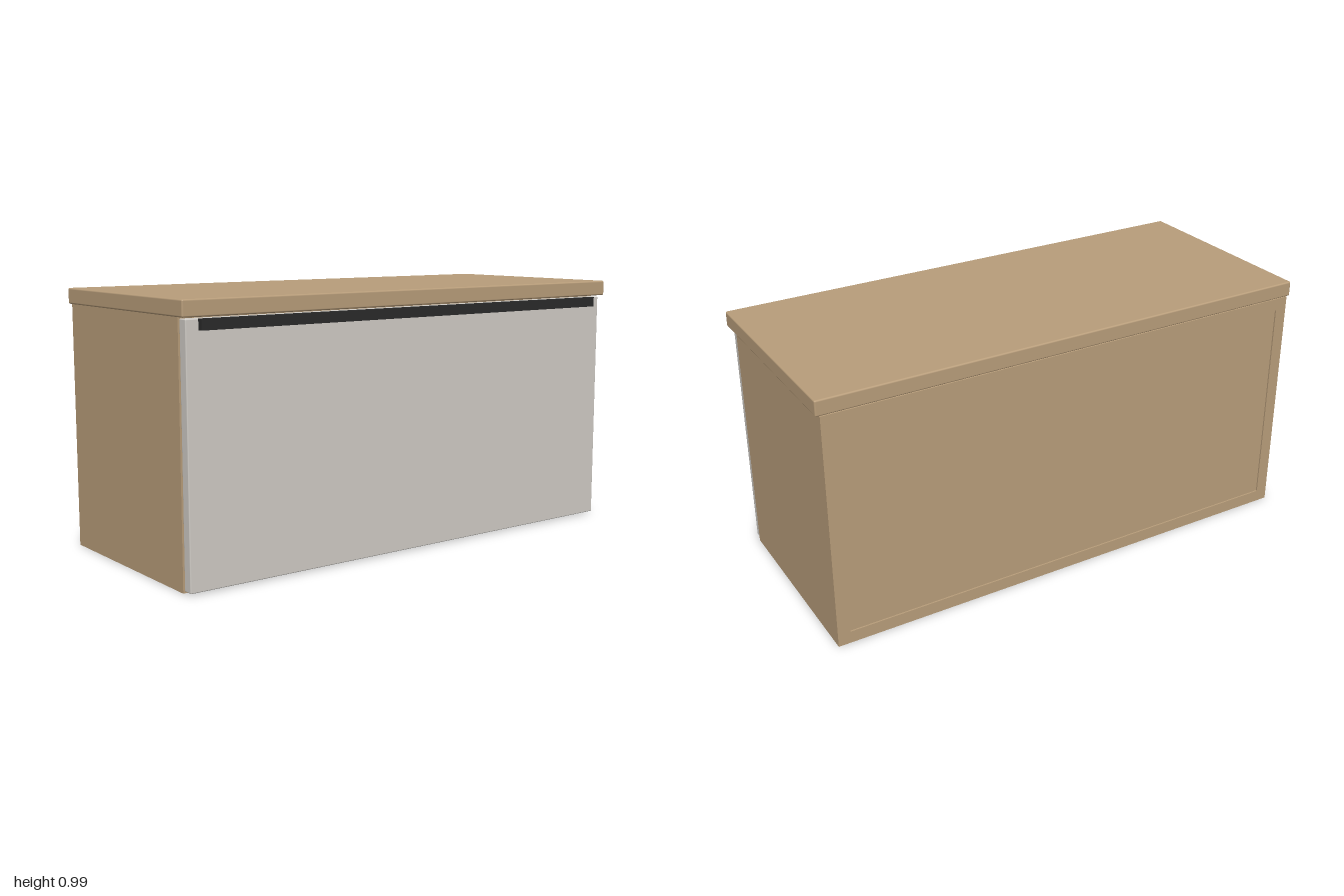
import * as THREE from 'three';
import { RoundedBoxGeometry } from 'three/addons/geometries/RoundedBoxGeometry.js';

const wood = new THREE.MeshStandardMaterial({ color: 0xb89d7a });
const paint = new THREE.MeshStandardMaterial({ color: 0xd0ccc6 });
const dark = new THREE.MeshStandardMaterial({ color: 0x2a2a2a });

// Box given by its [min, max] range on each axis; a radius rounds its edges
function panel(name, [x0, x1], [y0, y1], [z0, z1], material, radius = 0) {
  const size = [x1 - x0, y1 - y0, z1 - z0];
  const geometry = radius
    ? new RoundedBoxGeometry(...size, 3, radius)
    : new THREE.BoxGeometry(...size);
  const mesh = new THREE.Mesh(geometry, material);
  mesh.name = name;
  mesh.position.set((x0 + x1) / 2, (y0 + y1) / 2, (z0 + z1) / 2);
  return mesh;
}

export function createModel() {
  const model = new THREE.Group();
  model.name = 'drawerCabinet';

  const halfWidth = 0.985, height = 0.925, wall = 0.048;
  const back = -0.427, front = 0.365;
  const inner = halfWidth - wall;
  const depth = [back, front];

  // Carcass: two sides, floor and upper rail around a slightly recessed back
  const carcass = new THREE.Group();
  carcass.name = 'carcass';
  carcass.add(
    panel('leftSide', [inner, halfWidth], [0, height], depth, wood),
    panel('rightSide', [-halfWidth, -inner], [0, height], depth, wood),
    panel('floor', [-inner, inner], [0, wall], depth, wood),
    panel('upperRail', [-inner, inner], [height - wall, height], depth, wood),
    panel('backPanel', [-inner, inner], [wall, height - wall], [back + 0.006, back + 0.026], wood)
  );
  model.add(carcass);

  // Overhanging worktop with softened edges
  model.add(panel('worktop', [-1, 1], [0.926, 0.985], [-0.427, 0.421], wood, 0.006));

  // Full-width drawer front and its bar handle
  const drawer = new THREE.Group();
  drawer.name = 'drawer';
  drawer.add(
    panel('drawerFront', [-0.98, 0.98], [0.006, 0.92], [front + 0.001, 0.406], paint, 0.004),
    panel('handle', [-0.932, 0.932], [0.882, 0.92], [0.405, 0.427], dark)
  );
  model.add(drawer);

  return model;
}
